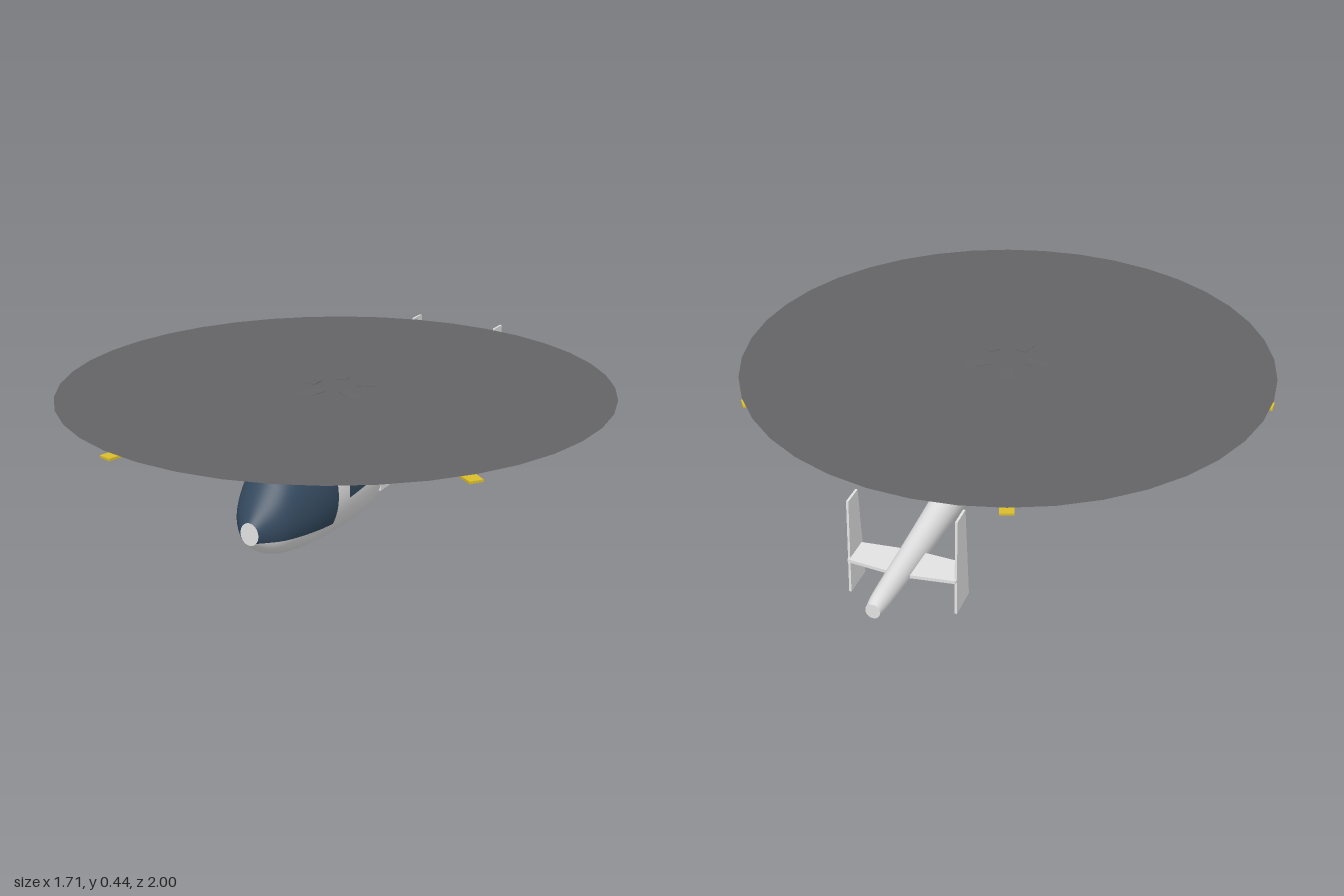
import * as THREE from 'three';
import { mergeVertices } from 'three/addons/utils/BufferGeometryUtils.js';

// Cross-sections: [z, bottom, middle, top, half width]
const BODY = [
  [0.655, 0.097, 0.132, 0.167, 0.03], [0.6, 0.056, 0.145, 0.235, 0.078], [0.55, 0.034, 0.155, 0.29, 0.102],
  [0.46, 0.015, 0.17, 0.341, 0.128], [0.38, 0.007, 0.178, 0.36, 0.14], [0.25, 0, 0.18, 0.363, 0.145],
  [0.13, 0.002, 0.18, 0.356, 0.145], [0, 0.028, 0.185, 0.342, 0.136], [-0.1, 0.057, 0.195, 0.33, 0.117],
  [-0.18, 0.1, 0.215, 0.316, 0.088], [-0.22, 0.145, 0.23, 0.303, 0.064], [-0.24, 0.19, 0.24, 0.29, 0.04],
];
const COWL = [
  [0.26, 0.33, 0.345, 0.357, 0.03], [0.17, 0.31, 0.343, 0.375, 0.066], [0.08, 0.3, 0.341, 0.387, 0.08],
  [0, 0.295, 0.34, 0.388, 0.082], [-0.1, 0.3, 0.338, 0.38, 0.078], [-0.2, 0.314, 0.337, 0.362, 0.063],
  [-0.25, 0.319, 0.335, 0.349, 0.048], [-0.262, 0.328, 0.335, 0.342, 0.03],
];
const BOOM = [
  [-0.15, 0.165, 0.238, 0.311, 0.06], [-0.25, 0.176, 0.241, 0.306, 0.055], [-0.45, 0.19, 0.245, 0.299, 0.045],
  [-0.7, 0.205, 0.249, 0.292, 0.036], [-0.9, 0.222, 0.255, 0.289, 0.029], [-0.97, 0.229, 0.258, 0.287, 0.025],
  [-1, 0.236, 0.258, 0.281, 0.021],
];

const span = (a, b, n) => Array.from({ length: n + 1 }, (_, i) => a + (b - a) * i / n);

// Smoothly interpolated cross-section at z
function section(stations, z) {
  let k = 0;
  while (k < stations.length - 2 && z < stations[k + 1][0]) k++;
  const slope = (i, c) => {
    const p = stations[Math.max(i - 1, 0)], q = stations[Math.min(i + 1, stations.length - 1)];
    return (q[c] - p[c]) / (q[0] - p[0]);
  };
  const a = stations[k], b = stations[k + 1], h = b[0] - a[0], t = (z - a[0]) / h;
  const [bottom, middle, top, width] = [1, 2, 3, 4].map(c =>
    a[c] * (1 + 2 * t) * (1 - t) ** 2 + b[c] * t * t * (3 - 2 * t) +
    h * (slope(k, c) * t * (1 - t) ** 2 + slope(k + 1, c) * t * t * (t - 1)));
  return { bottom, middle, top, width };
}

// Angle around the section at which it reaches height y on the +x side
function angleAt(stations, z, y) {
  const s = section(stations, z);
  const reach = y > s.middle ? s.top - s.middle : s.middle - s.bottom;
  return Math.asin(THREE.MathUtils.clamp((y - s.middle) / reach, -1, 1));
}

// Skin over rows of z; angles(z) lists the angles, isSecond(z, j) picks the second material
function loft(stations, rows, angles, isSecond = () => false, grow = 0) {
  const pos = [], first = [], second = [];
  let n = 0;
  rows.forEach(z => {
    const s = section(stations, z), list = angles(z);
    n = list.length;
    list.forEach(a => {
      const up = Math.sin(a) > 0 ? s.top - s.middle : s.middle - s.bottom;
      pos.push((s.width + grow) * Math.cos(a), s.middle + (up + grow) * Math.sin(a), z);
    });
  });
  for (let i = 0; i < rows.length - 1; i++) for (let j = 0; j < n - 1; j++) {
    const p = i * n + j, q = p + n;
    (isSecond((rows[i] + rows[i + 1]) / 2, j) ? second : first).push(p, q, p + 1, p + 1, q, q + 1);
  }
  let g = new THREE.BufferGeometry();
  g.setAttribute('position', new THREE.Float32BufferAttribute(pos, 3));
  g.setIndex([...first, ...second]);
  g = mergeVertices(g, 1e-5);
  g.addGroup(0, first.length, 0);
  g.addGroup(first.length, second.length, 1);
  g.computeVertexNormals();
  return g;
}

export function createModel() {
  const model = new THREE.Group();
  const material = (name, color, extra = {}) => {
    const m = new THREE.MeshStandardMaterial({ color, ...extra });
    m.name = name;
    return m;
  };
  const white = material('bodyWhite', 0xe2e2e2);
  const glass = material('darkBlueGlass', 0x34495e);
  const grey = material('rotorGrey', 0x646466, { side: THREE.DoubleSide });
  const yellow = material('tipYellow', 0xd9bd2c);
  const add = (name, geometry, mat, parent = model) => {
    const mesh = new THREE.Mesh(geometry, mat);
    mesh.name = name;
    parent.add(mesh);
    return mesh;
  };
  const circle = () => span(0, Math.PI * 2, 40);
  const cap = (name, st, back) => {
    const m = add(name, new THREE.CircleGeometry(1, 32), white);
    m.scale.set(st[4], (st[3] - st[1]) / 2, 1);
    m.position.set(0, (st[3] + st[1]) / 2, st[0]);
    if (back) m.rotation.y = Math.PI;
  };

  // Fuselage with the windscreen wrapped over its front, above a nearly level sill
  const sill = z => angleAt(BODY, Math.max(z, 0.38), 0.088 + 0.07 * (Math.max(z, 0.38) - 0.38));
  const bodyAngles = z => {
    const c = sill(z);
    return [...span(c, Math.PI - c, 30), ...span(Math.PI - c, Math.PI * 2 + c, 18).slice(1)];
  };
  const bodyRows = [...span(0.655, 0.38, 20), ...span(0.38, -0.24, 36).slice(1)];
  add('fuselage', loft(BODY, bodyRows, bodyAngles, (z, j) => z > 0.38 && j < 30), [white, glass]);
  cap('noseCap', BODY[0], false);
  cap('fuselageRearCap', BODY[BODY.length - 1], true);

  // Engine cowling and tail boom
  add('engineCowling', loft(COWL, span(0.26, -0.262, 30), circle), white);
  cap('cowlingRearCap', COWL[COWL.length - 1], true);
  add('tailBoom', loft(BOOM, span(-0.15, -1, 24), circle), white);
  cap('tailCap', BOOM[BOOM.length - 1], true);

  // Door windows and rear door panels on both sides
  for (const side of [1, -1]) {
    const windowAngles = z => {
      const low = angleAt(BODY, z, 0.155 + (0.32 - z) * 0.08), high = angleAt(BODY, z, 0.295);
      return side > 0 ? span(low, high, 8) : span(Math.PI - high, Math.PI - low, 8);
    };
    add(side > 0 ? 'leftDoorWindow' : 'rightDoorWindow',
      loft(BODY, span(0.32, 0.185, 8), windowAngles, undefined, 0.002), glass);
    const panel = add(side > 0 ? 'leftDoorPanel' : 'rightDoorPanel', new THREE.BoxGeometry(0.008, 0.17, 0.12), white);
    panel.position.set(side * 0.131, 0.185, 0.04);
  }

  // Tapered flat plate: outline in a plane, extruded and centred on its thickness
  const plate = (points, thickness) => {
    const shape = new THREE.Shape(points.map(p => new THREE.Vector2(...p)));
    return new THREE.ExtrudeGeometry(shape, { depth: thickness, bevelEnabled: false }).translate(0, 0, -thickness / 2);
  };
  // Horizontal stabiliser, drawn in x and -z
  const stabiliser = plate([[-0.16, 0.712], [0, 0.7], [0.16, 0.712], [0.16, 0.8], [0, 0.818], [-0.16, 0.8]], 0.01);
  add('tailplane', stabiliser.rotateX(-Math.PI / 2), white).position.y = 0.248;
  // End fins, drawn in -z and y
  for (const side of [1, -1]) {
    const fin = plate([[0.698, 0.14], [0.798, 0.14], [0.782, 0.435], [0.718, 0.435]], 0.007);
    add(side > 0 ? 'leftFin' : 'rightFin', fin.rotateY(Math.PI / 2), white).position.x = side * 0.158;
  }

  // Rotor: thin disc with five drooping blades and yellow tips
  const rotor = new THREE.Group();
  rotor.name = 'mainRotor';
  rotor.position.set(0, 0.4355, 0.14);
  model.add(rotor);
  add('rotorDisc', new THREE.CircleGeometry(0.855, 40).rotateX(-Math.PI / 2), grey, rotor);
  for (let i = 0; i < 5; i++) {
    const blade = new THREE.Group();
    blade.name = 'rotorBlade' + (i + 1);
    blade.rotation.set(0, Math.PI * (1 + 0.4 * i), -0.025, 'YXZ');
    add('bladeSpar', new THREE.BoxGeometry(0.725, 0.007, 0.042).translate(0.4275, 0, 0), grey, blade);
    add('bladeTip', new THREE.BoxGeometry(0.066, 0.007, 0.042).translate(0.823, 0, 0), yellow, blade);
    rotor.add(blade);
  }
  return model;
}
